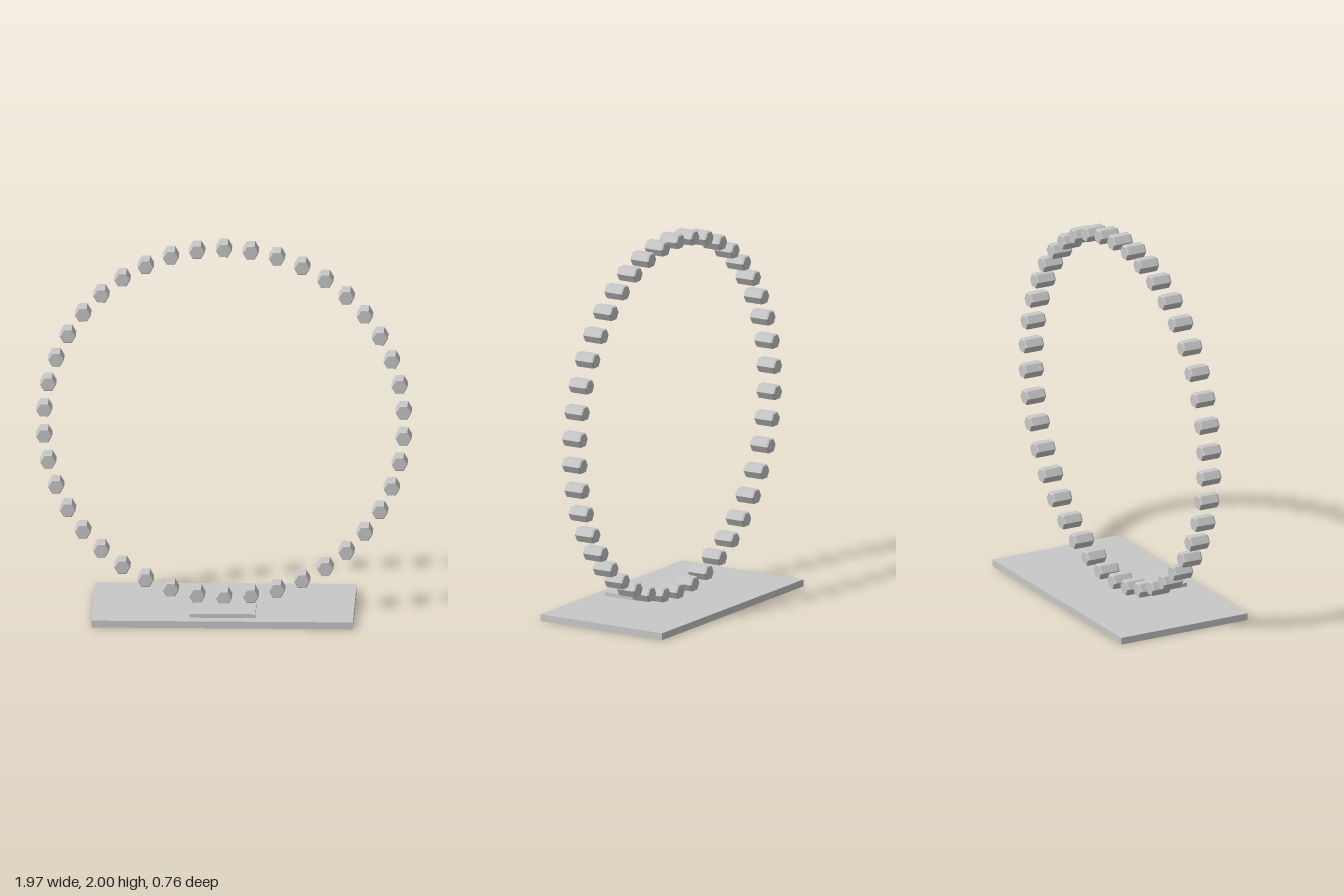
import * as THREE from 'three';

// Box standing on y = bottom, left open underneath
function openTray(width, height, depth, bottom, z) {
  const box = new THREE.BoxGeometry(width, height, depth);
  const index = Array.from(box.index.array);
  index.splice(18, 6); // drop the lower face
  box.setIndex(index);
  box.clearGroups();
  box.translate(0, bottom + height / 2, z);
  return box;
}

// Six-sided bead with chamfered ends, lying along z, corners pointing to +-x
function beadGeometry(radius, halfLength, chamferR, chamferZ) {
  const profile = [
    [0, -halfLength],
    [radius - chamferR, -halfLength],
    [radius, -halfLength + chamferZ],
    [radius, halfLength - chamferZ],
    [radius - chamferR, halfLength],
    [0, halfLength],
  ].map(([r, y]) => new THREE.Vector2(r, y));
  const bead = new THREE.LatheGeometry(profile, 6, Math.PI / 2).toNonIndexed();
  bead.computeVertexNormals();
  bead.rotateX(Math.PI / 2);
  return bead;
}

export function createModel() {
  const model = new THREE.Group();
  model.name = 'beadRingOnStand';

  const grey = new THREE.MeshStandardMaterial({ color: 0xc8c8c8, side: THREE.DoubleSide });
  grey.name = 'light grey';

  // Stand: wide hollow base and a small raised plaque at the front
  const baseTop = 0.037;
  const base = new THREE.Mesh(openTray(1.37, baseTop, 0.756, 0, 0), grey);
  base.name = 'base';
  const plaque = new THREE.Mesh(openTray(0.344, 0.021, 0.206, baseTop, 0.203), grey);
  plaque.name = 'plaque';
  model.add(base, plaque);

  // Ring of evenly spaced beads, all keeping the same upright orientation
  const ring = new THREE.Group();
  ring.name = 'beadRing';
  ring.position.y = 1.0185;
  const count = 42, ringRadius = 0.9445;
  const geometry = beadGeometry(0.0428, 0.056, 0.005, 0.008);
  for (let i = 0; i < count; i++) {
    const a = (i / count) * Math.PI * 2;
    const bead = new THREE.Mesh(geometry, grey);
    bead.name = `bead${i + 1}`;
    bead.position.set(ringRadius * Math.sin(a), ringRadius * Math.cos(a), 0);
    ring.add(bead);
  }
  model.add(ring);

  return model;
}
